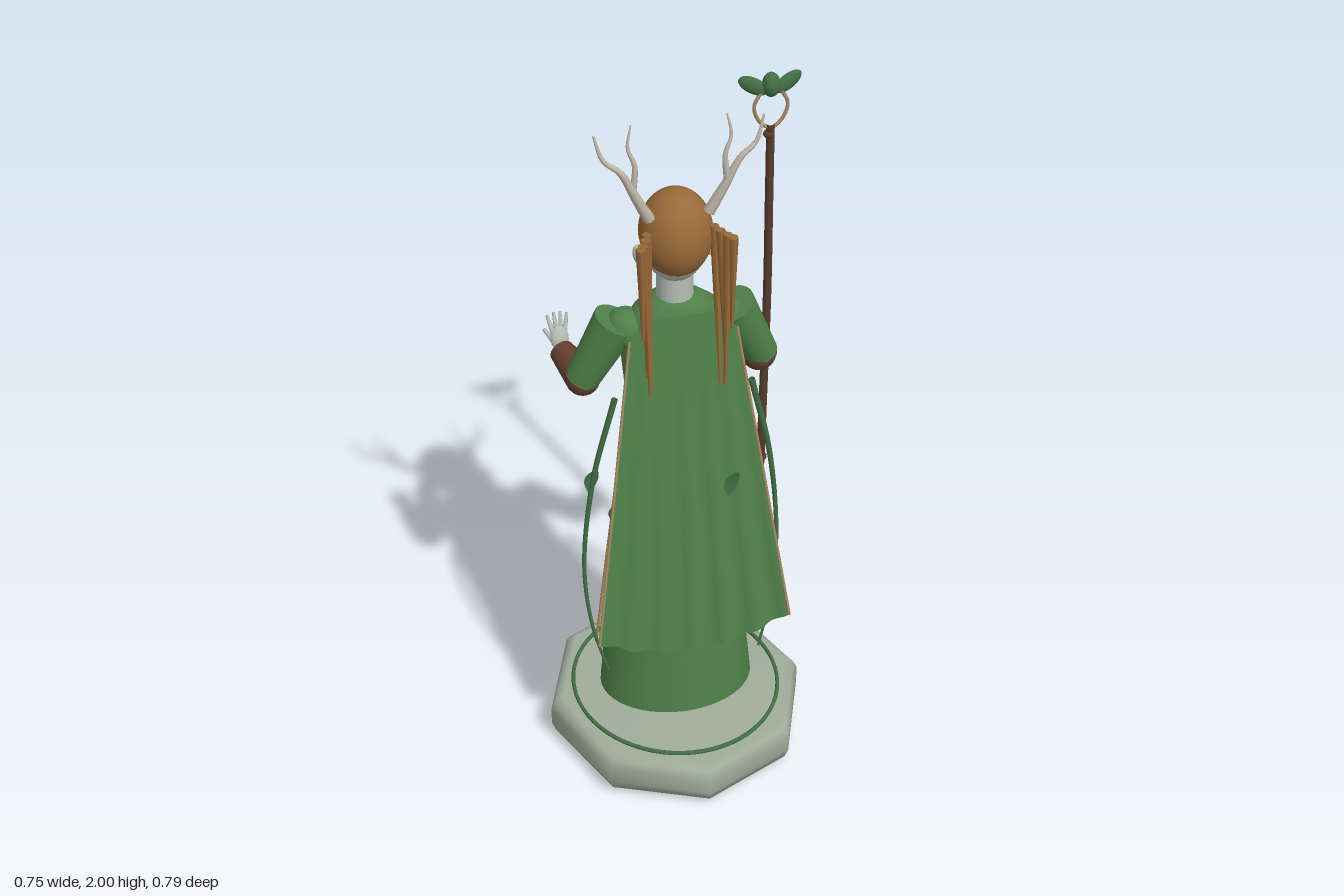
import * as THREE from 'three';

const mat = (name, color, side = THREE.FrontSide) => {
  const m = new THREE.MeshStandardMaterial({ color, side });
  m.name = name;
  return m;
};
const V = (x, y, z) => new THREE.Vector3(x, y, z);

export function createModel() {
  const M = {
    cloth: mat('green cloth', 0x4f8049, THREE.DoubleSide),
    leaf: mat('leaf green', 0x426f45, THREE.DoubleSide),
    hair: mat('hair', 0x9a6a38),
    leather: mat('leather', 0x643f30),
    wood: mat('staff wood', 0x573a2d),
    skin: mat('pale skin', 0xb3bcb2),
    stone: mat('stone', 0xa0ac9a),
    antler: mat('antler', 0xc2b9aa),
    trim: mat('tan trim', 0xa78a60),
    dark: mat('face marks', 0x453c38),
  };
  const root = new THREE.Group();
  root.name = 'robedFigure';
  const body = new THREE.Group(); // symmetric parts share this axis
  body.name = 'body';
  body.position.x = -0.01;
  root.add(body);

  const add = (parent, name, geo, m, pos = [0, 0, 0], scale = [1, 1, 1], rot = [0, 0, 0]) => {
    const mesh = new THREE.Mesh(geo, m);
    mesh.name = name;
    mesh.position.set(...pos);
    mesh.scale.set(...scale);
    mesh.rotation.set(...rot);
    parent.add(mesh);
    return mesh;
  };
  const ball = (parent, name, m, pos, scale, rot) =>
    add(parent, name, new THREE.SphereGeometry(1, 24, 16), m, pos, scale, rot);

  // Cylinder between two points, r1 at a and r2 at b
  const limb = (parent, name, m, a, b, r1, r2, seg = 20) => {
    const d = b.clone().sub(a);
    const mesh = add(parent, name, new THREE.CylinderGeometry(r2, r1, d.length(), seg), m);
    mesh.position.copy(a).addScaledVector(d, 0.5);
    mesh.quaternion.setFromUnitVectors(V(0, 1, 0), d.normalize());
    return mesh;
  };
  // Tube along points whose radius runs from r1 to r2
  const taper = (parent, name, m, pts, r1, r2, seg = 20, sides = 8) => {
    const curve = new THREE.CatmullRomCurve3(pts.map((p) => V(...p)));
    const g = new THREE.TubeGeometry(curve, seg, 1, sides);
    const p = g.attributes.position, v = V(0, 0, 0);
    for (let i = 0; i < p.count; i++) {
      const t = Math.floor(i / (sides + 1)) / seg, c = curve.getPointAt(t);
      v.fromBufferAttribute(p, i).sub(c).multiplyScalar(r1 + (r2 - r1) * t).add(c);
      p.setXYZ(i, v.x, v.y, v.z);
    }
    return add(parent, name, g, m);
  };
  // Smooth surface through elliptical rows [y, rx, rz, zCentre]
  const loft = (rows, n = 48) => {
    const pos = [], idx = [];
    rows.forEach(([y, rx, rz, zc]) => {
      for (let j = 0; j < n; j++) {
        const a = (j / n) * Math.PI * 2;
        pos.push(rx * Math.sin(a), y, zc + rz * Math.cos(a));
      }
    });
    for (let i = 0; i < rows.length - 1; i++)
      for (let j = 0; j < n; j++) {
        const a = i * n + j, b = i * n + ((j + 1) % n);
        idx.push(a, b, b + n, a, b + n, a + n);
      }
    const g = new THREE.BufferGeometry();
    g.setAttribute('position', new THREE.Float32BufferAttribute(pos, 3));
    g.setIndex(idx);
    g.computeVertexNormals();
    return g;
  };

  // Octagonal plinth with inlaid ring
  const slab = [[0, 0], [0.35, 0], [0.385, 0.02], [0.397, 0.05], [0.397, 0.1], [0.385, 0.122], [0.36, 0.135], [0, 0.138]];
  add(body, 'plinth', new THREE.LatheGeometry(slab.map((p) => new THREE.Vector2(...p)), 8), M.stone, [0, 0, 0], [0.92, 1, 1]);
  add(body, 'plinthRing', new THREE.TorusGeometry(0.317, 0.006, 8, 64), M.leaf, [0, 0.139, 0], [0.92, 1, 1], [Math.PI / 2, 0, 0]);

  // Robe, hem underside and belt
  add(body, 'robe', loft([
    [0.165, 0.217, 0.17, 0.003], [0.3, 0.204, 0.164, 0], [0.45, 0.188, 0.156, -0.003], [0.6, 0.172, 0.145, -0.005],
    [0.75, 0.15, 0.128, -0.008], [0.88, 0.128, 0.112, -0.01], [0.96, 0.115, 0.104, -0.01], [1.05, 0.12, 0.1, -0.008],
    [1.2, 0.135, 0.1, -0.006], [1.3, 0.144, 0.099, -0.005], [1.38, 0.138, 0.09, -0.003], [1.43, 0.11, 0.074, 0],
    [1.455, 0.075, 0.058, 0], [1.465, 0.048, 0.046, 0]]), M.cloth);
  add(body, 'hemUnderside', new THREE.CircleGeometry(1, 48), M.cloth, [0, 0.167, 0.003], [0.216, 0.169, 1], [Math.PI / 2, 0, 0]);
  add(body, 'belt', loft([[0.945, 0.115, 0.1, -0.01], [0.947, 0.124, 0.112, -0.01], [0.98, 0.122, 0.111, -0.01], [0.982, 0.112, 0.1, -0.01]]), M.leather);
  ball(body, 'buckle', M.trim, [0, 0.963, -0.122], [0.018, 0.018, 0.008]);

  // Cape: widening, rippled sheet hung from the shoulders
  const capePoint = (u, t) => {
    const s = Math.abs(u);
    return V(u * (0.143 + 0.125 * t),
      1.45 - 1.01 * t + 0.06 * s * s * t - 0.055 * Math.max(0, (s - 0.55) / 0.45) * (1 - t),
      0.09 + 0.135 * t - 0.012 * s * s * t + 0.007 * t * Math.cos(u * 19));
  };
  const cape = new THREE.PlaneGeometry(2, 1, 64, 24);
  const cp = cape.attributes.position;
  for (let i = 0; i < cp.count; i++) {
    const q = capePoint(cp.getX(i), 0.5 - cp.getY(i));
    cp.setXYZ(i, q.x, q.y, q.z);
  }
  cape.computeVertexNormals();
  add(body, 'cape', cape, M.cloth);

  // Neck, head and face (face looks toward -z)
  limb(body, 'neck', M.skin, V(0, 1.43, 0), V(0, 1.56, 0), 0.05, 0.047);
  ball(body, 'head', M.skin, [0, 1.625, 0], [0.086, 0.112, 0.09]);
  ball(body, 'chin', M.skin, [0, 1.552, -0.038], [0.048, 0.042, 0.044]);
  add(body, 'nose', new THREE.ConeGeometry(0.02, 0.085, 12), M.skin, [0, 1.622, -0.102], [1, 1, 1], [-2.05, 0, 0]);
  ball(body, 'mouth', M.dark, [0, 1.563, -0.079], [0.022, 0.005, 0.008]);

  // Hair cap: low at the nape, cut high above the face
  const hair = new THREE.SphereGeometry(1, 48, 24);
  const hp = hair.attributes.position, hu = hair.attributes.uv;
  for (let i = 0; i < hp.count; i++) {
    const a = hu.getX(i) * Math.PI * 2, back = THREE.MathUtils.smoothstep(Math.cos(a), -0.05, 0.25);
    const th = (1 - hu.getY(i)) * Math.PI * (0.51 + 0.49 * back);
    hp.setXYZ(i, 0.096 * Math.sin(th) * Math.sin(a), 1.655 + 0.122 * Math.cos(th), 0.01 + 0.1 * Math.sin(th) * Math.cos(a));
  }
  // keep triangles facing outward after the angular remap
  hair.computeVertexNormals();
  add(body, 'hairCap', hair, M.hair);

  for (const s of [-1, 1]) {
    // Face details
    ball(body, 'ear', M.skin, [s * 0.096, 1.6, 0.008], [0.016, 0.03, 0.014], [0, 0, -s * 0.2]);
    ball(body, 'eye', M.dark, [s * 0.034, 1.633, -0.0815], [0.015, 0.005, 0.005], [0, s * 0.35, 0]);
    add(body, 'eyebrow', new THREE.BoxGeometry(0.032, 0.004, 0.006), M.dark, [s * 0.034, 1.653, -0.0805], [1, 1, 1], [0, s * 0.4, s * 0.12]);

    // Antlers with one inner tine
    taper(body, 'antler', M.antler, [[s * 0.078, 1.725, 0.045], [s * 0.115, 1.8, 0.055], [s * 0.155, 1.88, 0.06], [s * 0.195, 1.915, 0.055], [s * 0.217, 1.985, 0.045]], 0.016, 0.003);
    taper(body, 'antlerTine', M.antler, [[s * 0.122, 1.815, 0.056], [s * 0.116, 1.89, 0.055], [s * 0.132, 1.94, 0.05], [s * 0.122, 2.0, 0.043]], 0.01, 0.002);

    // Long side locks, each tapering downward
    [[0.088, 0.06, 1.24, 0.092, 0.115], [0.098, 0.085, 1.3, 0.105, 0.125], [0.11, 0.11, 1.25, 0.1, 0.135], [0.12, 0.125, 1.42, 0.117, 0.132]]
      .forEach(([x, z, y, x2, z2]) => {
        const lock = limb(body, 'hairLock', M.hair, V(s * x2, y, z2), V(s * x, 1.69, z), 0.005, 0.016, 6);
        lock.scale.x = 0.8;
      });

    // Short sleeves over the shoulders
    limb(body, 'sleeve', M.cloth, V(s * 0.155, 1.4, -0.005), V(s * 0.245, 1.215, -0.03), 0.062, 0.046);
    ball(body, 'shoulder', M.cloth, [s * 0.13, 1.375, -0.004], [0.055, 0.055, 0.058]);

    // Tan edging on cape and hanging cords at the front
    taper(body, 'capeEdging', M.trim, [0, 0.25, 0.5, 0.75, 1].map((t) => capePoint(s, t).toArray()), 0.004, 0.004);
    taper(body, 'beltCord', M.trim, [[s * 0.1, 0.955, -0.08], [s * 0.118, 0.9, -0.115], [s * 0.15, 0.6, -0.148], [s * 0.19, 0.17, -0.18]], 0.004, 0.004);

    // Trailing vines
    taper(body, 'vine', M.leaf, [[s * 0.185, 1.22, 0.09], [s * 0.245, 0.95, 0.075], [s * 0.272, 0.65, 0.066], [s * 0.255, 0.45, 0.08], [s * 0.217, 0.3, 0.1]], 0.009, 0.004, 30);

    // Shoes; one steps out from the hem
    ball(body, 'shoe', M.leather, [s * 0.08, 0.152, s < 0 ? -0.105 : -0.06], [0.04, 0.036, 0.08]);
  }

  // Staff arm
  const elbowL = V(0.228, 1.215, -0.03), wristL = V(0.28, 1.135, -0.145);
  limb(root, 'leftBracer', M.leather, elbowL, wristL, 0.048, 0.034);
  ball(root, 'leftElbow', M.leather, elbowL.toArray(), [0.047, 0.047, 0.047]);
  ball(root, 'leftHand', M.skin, [0.288, 1.125, -0.165], [0.024, 0.034, 0.028]);
  for (let i = 0; i < 4; i++)
    add(root, 'grippingFinger', new THREE.TorusGeometry(0.017, 0.008, 8, 16, Math.PI * 1.5), M.skin,
      [0.288, 1.1 + i * 0.016, -0.182], [1, 1, 1], [Math.PI / 2, 0, 0]);

  // Raised arm with open hand
  const elbowR = V(-0.252, 1.215, -0.03), wristR = V(-0.284, 1.235, -0.14);
  limb(root, 'rightBracer', M.leather, elbowR, wristR, 0.047, 0.034);
  ball(root, 'rightElbow', M.leather, elbowR.toArray(), [0.046, 0.046, 0.046]);
  ball(root, 'rightPalm', M.skin, [-0.284, 1.262, -0.162], [0.025, 0.034, 0.015], [-0.3, 0, 0]);
  for (let i = 0; i < 4; i++) {
    const k = i - 1.5;
    limb(root, 'openFinger', M.skin, V(-0.284 + k * 0.011, 1.28, -0.168), V(-0.284 + k * 0.018, 1.33 - Math.abs(k) * 0.006, -0.19), 0.007, 0.004, 8);
  }
  limb(root, 'thumb', M.skin, V(-0.298, 1.25, -0.165), V(-0.322, 1.285, -0.18), 0.008, 0.005, 8);

  // Staff with forked loop, bud and leaves
  taper(root, 'staff', M.wood, [[0.29, 0.165, -0.178], [0.283, 0.5, -0.182], [0.287, 0.9, -0.178], [0.294, 1.3, -0.182], [0.292, 1.6, -0.178], [0.292, 1.82, -0.18]], 0.012, 0.011, 40, 10);
  for (const y of [0.33, 0.75, 1.79]) ball(root, 'staffKnot', M.wood, [0.288, y, -0.18], [0.015, 0.012, 0.015]);
  taper(root, 'staffLoop', M.trim, [[0.268, 1.92, -0.18], [0.247, 1.875, -0.18], [0.262, 1.83, -0.18], [0.292, 1.808, -0.18],
    [0.322, 1.83, -0.18], [0.337, 1.875, -0.18], [0.316, 1.92, -0.18]], 0.005, 0.005, 40);
  ball(root, 'staffBud', M.leaf, [0.292, 1.933, -0.182], [0.024, 0.034, 0.024]);
  for (const s of [-1, 1])
    ball(root, 'staffLeaf', M.leaf, [0.292 + s * 0.046, 1.932, -0.188], [0.043, 0.022, 0.012], [0, s * 0.2, s * 0.5]);

  // Drifting leaves: pointed, curled blades
  const blade = new THREE.Shape();
  blade.moveTo(0, -0.042);
  blade.quadraticCurveTo(0.044, -0.005, 0, 0.042);
  blade.quadraticCurveTo(-0.044, 0.005, 0, -0.042);
  const leafGeo = new THREE.ShapeGeometry(blade, 10);
  const lp = leafGeo.attributes.position;
  for (let i = 0; i < lp.count; i++) lp.setZ(i, 6 * lp.getY(i) ** 2 - 0.004);
  leafGeo.computeVertexNormals();
  [[0.085, 1.0, 0.235, -0.3], [-0.205, 0.88, 0.135, 0.3], [0.275, 0.51, -0.01, 0.2], [-0.205, 0.77, -0.165, -0.3]]
    .forEach(([x, y, z, r]) => add(root, 'driftingLeaf', leafGeo, M.leaf, [x, y, z], [1, 1, 1], [0.1, 0.2, r]));

  return root;
}
